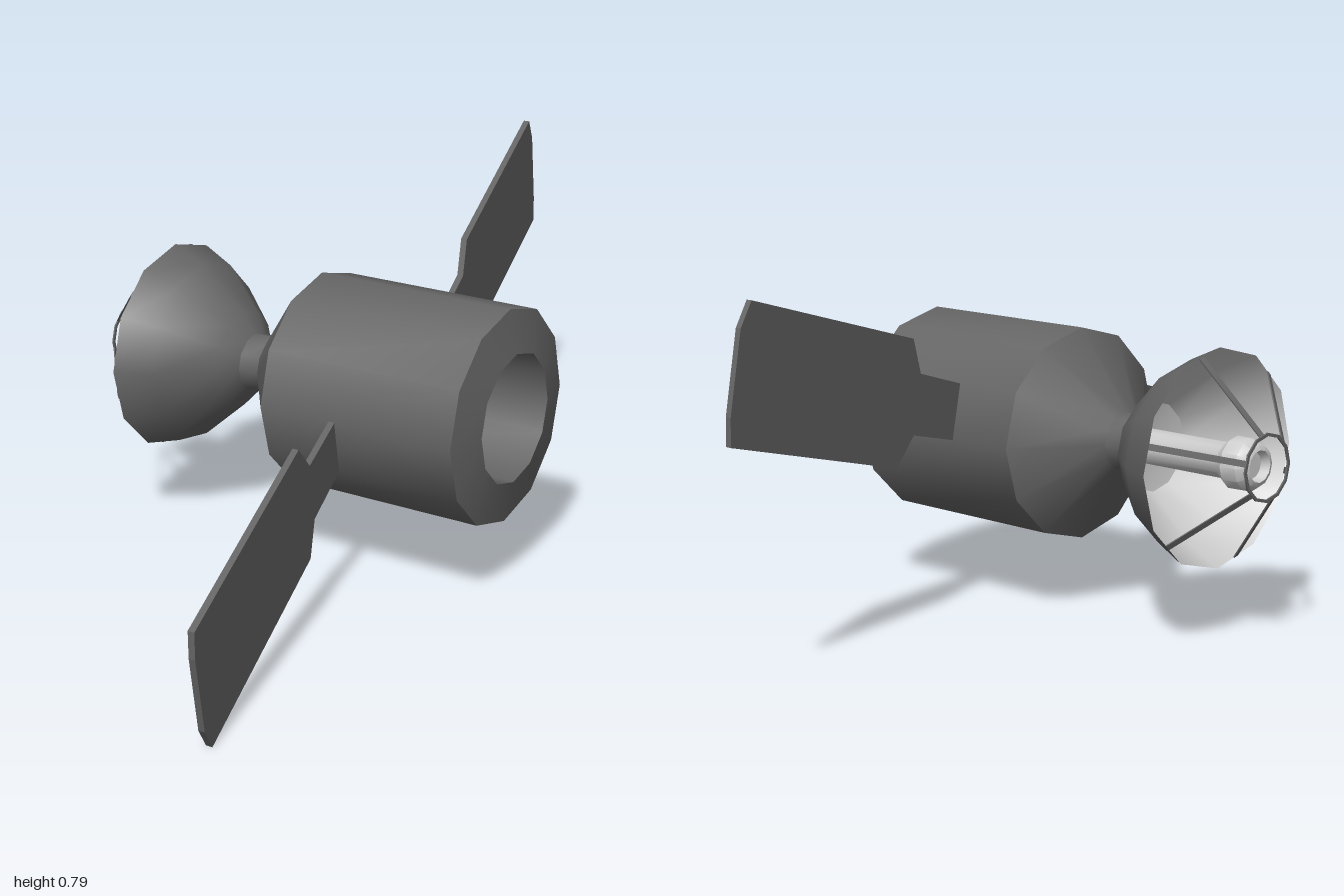
import * as THREE from 'three';
import { toCreasedNormals } from 'three/addons/utils/BufferGeometryUtils.js';

const AXIS_Y = 0.397;
const rad = THREE.MathUtils.degToRad;
const dark = new THREE.MeshStandardMaterial({ color: 0x666666 });
const light = new THREE.MeshStandardMaterial({ color: 0xcccccc });

// Turned part around the x axis, from [x, radius] pairs
function turned(name, profile, material, sides = 12) {
  const points = profile.map(([x, r]) => new THREE.Vector2(r, x));
  const geometry = new THREE.LatheGeometry(points, sides);
  geometry.rotateZ(-Math.PI / 2);
  const mesh = new THREE.Mesh(toCreasedNormals(geometry, rad(35)), material);
  mesh.name = name;
  return mesh;
}

// Flat panel outline in (z, y), swept along x by a slope
function solarPanel(name, rootX, slope) {
  const outline = [
    [0.18, 0.02], [0.24, 0.003], [0.39, -0.035], [0.455, 0.025], [1.0, -0.122],
    [0.998, -0.18], [0.96, -0.347], [0.925, -0.397], [0.385, -0.245],
    [0.36, -0.165], [0.21, -0.12], [0.18, -0.112],
  ];
  const shape = new THREE.Shape(outline.map(([z, y]) => new THREE.Vector2(z, y)));
  const depth = 0.015;
  const geometry = new THREE.ExtrudeGeometry(shape, { depth, bevelEnabled: false });
  geometry.translate(0, 0, -depth / 2).rotateY(-Math.PI / 2);
  const pos = geometry.attributes.position;
  for (let i = 0; i < pos.count; i++) {
    pos.setX(i, pos.getX(i) + rootX + slope * (pos.getZ(i) - 0.235));
  }
  geometry.computeVertexNormals();
  const mesh = new THREE.Mesh(geometry, dark);
  mesh.name = name;
  return mesh;
}

export function createModel() {
  const model = new THREE.Group();
  model.name = 'satellite';
  const craft = new THREE.Group();
  craft.name = 'spacecraft';
  craft.position.y = AXIS_Y;
  model.add(craft);

  // Dish back, neck, hull and hollow rear
  craft.add(turned('hull', [
    [-0.38, 0.24], [-0.30, 0.205], [-0.19, 0.11], [-0.16, 0.065], [-0.11, 0.065],
    [0.02, 0.24], [0.49, 0.24], [0.51, 0.145], [0.1, 0.145], [0.1, 0],
  ], dark));

  // Bright inside of the dish
  craft.add(turned('dishInside', [
    [-0.175, 0], [-0.195, 0.1], [-0.30, 0.2], [-0.38, 0.24],
  ], light));

  // Feed with a recessed tip on a stem
  craft.add(turned('feedHorn', [
    [-0.47, 0], [-0.47, 0.03], [-0.492, 0.035], [-0.488, 0.045], [-0.47, 0.057],
    [-0.43, 0.058], [-0.405, 0.04], [-0.17, 0.04],
  ], light));

  // Thin ring ahead of the feed
  craft.add(turned('feedRing', [
    [-0.509, 0.068], [-0.513, 0.068], [-0.513, 0.075], [-0.509, 0.075], [-0.509, 0.068],
  ], dark));

  // Six flat struts from the ring to the dish rim
  const struts = new THREE.Group();
  struts.name = 'struts';
  const from = new THREE.Vector2(-0.511, 0.072);
  const to = new THREE.Vector2(-0.38, 0.232);
  const strutGeometry = new THREE.BoxGeometry(from.distanceTo(to), 0.003, 0.014);
  strutGeometry.rotateZ(Math.atan2(to.y - from.y, to.x - from.x));
  strutGeometry.translate((from.x + to.x) / 2, (from.y + to.y) / 2, 0);
  for (let i = 0; i < 6; i++) {
    const strut = new THREE.Mesh(strutGeometry, dark);
    strut.name = 'strut';
    strut.rotation.x = rad(-15 + i * 60);
    struts.add(strut);
  }
  craft.add(struts);

  // Panels, the rear one turned half way around the hull axis
  craft.add(solarPanel('frontPanel', 0.2, 0.25));
  const rearPanel = solarPanel('rearPanel', 0.195, -0.25);
  rearPanel.rotation.x = Math.PI;
  craft.add(rearPanel);

  return model;
}
